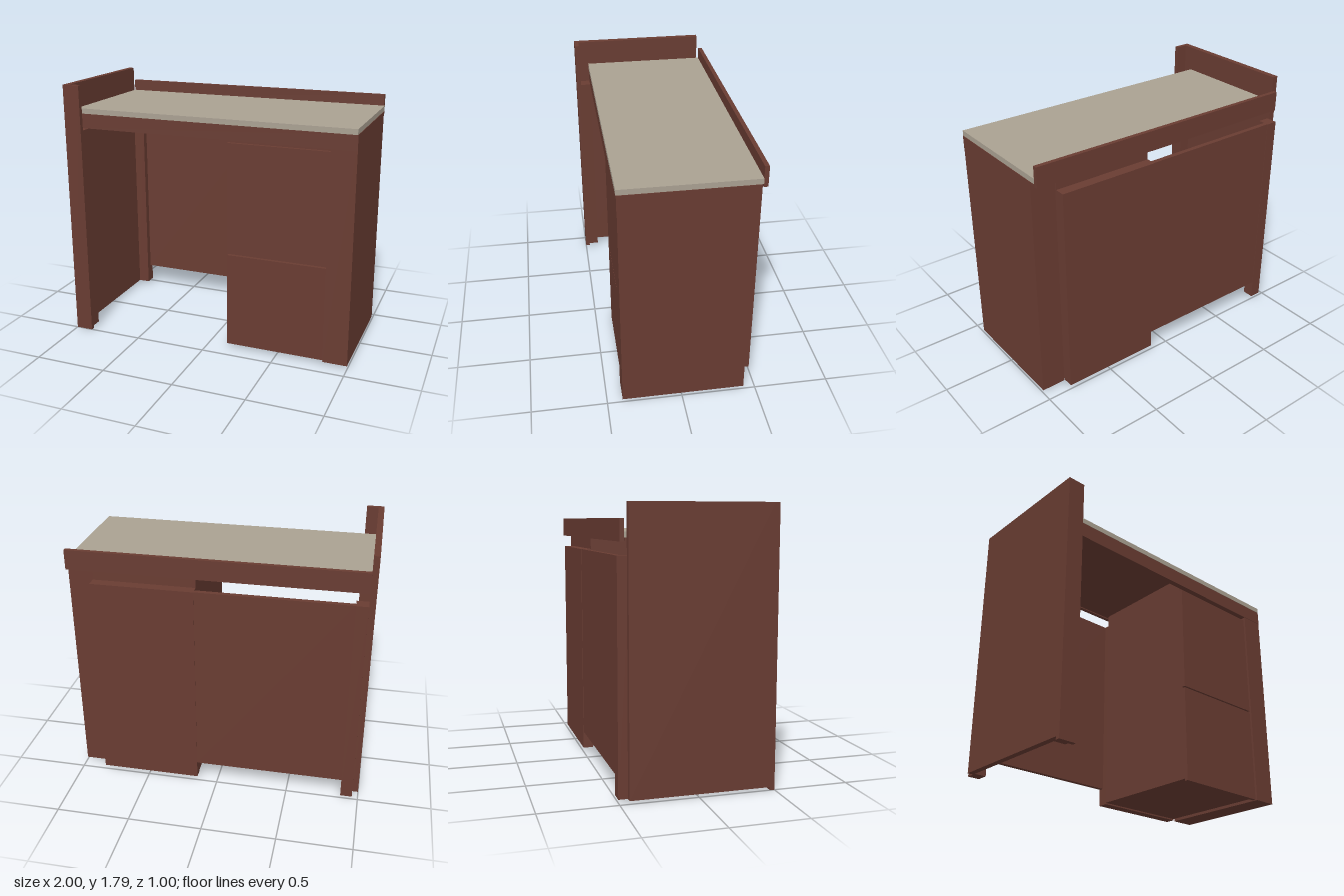
import * as THREE from 'three';

export function createModel() {
  const desk = new THREE.Group();
  desk.name = 'desk';

  const wood = new THREE.MeshStandardMaterial({ color: 0x693c32 });
  wood.name = 'dark red wood';
  const top = new THREE.MeshStandardMaterial({ color: 0xaaa192 });
  top.name = 'pale grey top';

  // Box given by its limits on each axis
  function slab(name, [x0, x1], [y0, y1], [z0, z1], material = wood) {
    const mesh = new THREE.Mesh(new THREE.BoxGeometry(x1 - x0, y1 - y0, z1 - z0), material);
    mesh.position.set((x0 + x1) / 2, (y0 + y1) / 2, (z0 + z1) / 2);
    mesh.name = name;
    desk.add(mesh);
    return mesh;
  }

  // Tall end panel with its front edge strip and corner posts
  slab('tallEndPanel', [-1, -0.96], [0.02, 1.79], [-0.44, 0.47]);
  slab('frontEdgeStrip', [-1, -0.88], [0, 1.79], [0.47, 0.5]);
  slab('frontPost', [-0.96, -0.88], [0.02, 1.48], [0.4, 0.47]);
  slab('backPost', [-0.96, -0.88], [0.02, 1.48], [-0.5, -0.42]);

  // Worktop, the board under it, front apron and back rail
  slab('worktop', [-0.96, 0.995], [1.582, 1.618], [-0.455, 0.402], top);
  slab('worktopBoard', [-0.96, 0.99], [1.565, 1.582], [-0.45, 0.395]);
  slab('apron', [-0.96, 0.998], [1.48, 1.582], [0.36, 0.4]);
  slab('backRail', [-0.96, 0.99], [1.56, 1.695], [-0.483, -0.455]);

  // Panel behind the knee space
  slab('modestyPanel', [-0.88, 0.14], [0.15, 1.48], [-0.497, -0.465]);

  // Cabinet with its back board
  slab('cabinetBody', [0.14, 0.83], [0.04, 1.565], [-0.43, 0.36]);
  slab('cabinetBack', [0.14, 0.83], [0.03, 1.48], [-0.5, -0.43]);

  // Two drawer fronts with a narrow gap between them
  for (const [name, y0, y1] of [['lowerDrawer', 0.025, 0.685], ['upperDrawer', 0.695, 1.46]]) {
    slab(name, [0.14, 0.828], [y0, y1], [0.36, 0.385]);
  }

  // Closed end beside the cabinet
  slab('endBlock', [0.83, 0.998], [0.02, 1.582], [-0.42, 0.398]);

  return desk;
}
